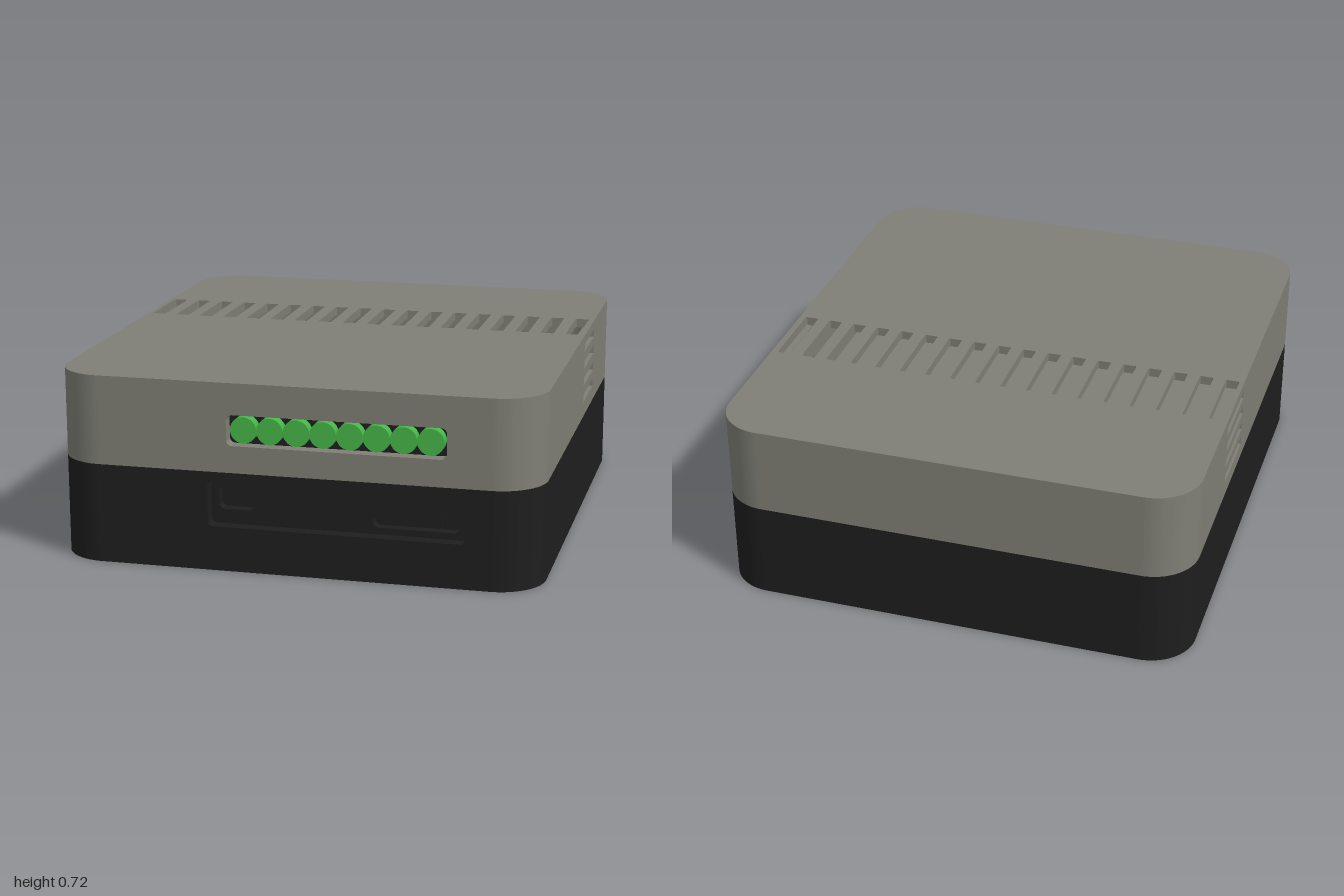
import * as THREE from 'three';

const W = 0.92, D = 1, R = 0.18, T = 0.05; // half width, half depth, corner radius, wall
const SPLIT = 0.38, TOP = 0.72, TOP_T = 0.035;

const mat = (color) => new THREE.MeshStandardMaterial({ color });

// Rounded rectangle outline from x0,y0 to x1,y1
function roundRect(x0, y0, x1, y1, r, Type = THREE.Shape) {
  const s = new Type();
  if (r === 0) {
    s.moveTo(x0, y0).lineTo(x1, y0).lineTo(x1, y1).lineTo(x0, y1).closePath();
    return s;
  }
  s.moveTo(x0 + r, y0).lineTo(x1 - r, y0);
  s.absarc(x1 - r, y0 + r, r, -Math.PI / 2, 0);
  s.lineTo(x1, y1 - r).absarc(x1 - r, y1 - r, r, 0, Math.PI / 2);
  s.lineTo(x0 + r, y1).absarc(x0 + r, y1 - r, r, Math.PI / 2, Math.PI);
  s.lineTo(x0, y0 + r).absarc(x0 + r, y0 + r, r, Math.PI, Math.PI * 1.5);
  return s;
}
const hole = (x0, y0, x1, y1, r = 0) => roundRect(x0, y0, x1, y1, r, THREE.Path);

const extrude = (shape, depth) =>
  new THREE.ExtrudeGeometry(shape, { depth, bevelEnabled: false, curveSegments: 14 });

function add(group, name, geometry, material) {
  const mesh = new THREE.Mesh(geometry, material);
  mesh.name = name;
  group.add(mesh);
  return mesh;
}

// Horizontal slab; its outline is drawn in x and -z
function addPlate(group, name, shape, y, height, material) {
  add(group, name, extrude(shape, height).rotateX(-Math.PI / 2).translate(0, y, 0), material);
}

// Upright panel in the x-y plane
function addPanel(group, name, rect, r, holes, z, depth, material) {
  const shape = roundRect(...rect, r);
  shape.holes.push(...holes);
  add(group, name, extrude(shape, depth).translate(0, 0, z), material);
}

// Four straight walls and four rounded corners
function addWalls(group, y0, y1, frontHoles, sideHoles, material) {
  const fx = W - R, fz = D - R;
  addPanel(group, 'frontWall', [-fx, y0, fx, y1], 0, frontHoles, D - T, T, material);
  addPanel(group, 'backWall', [-fx, y0, fx, y1], 0, [], -D, T, material);
  for (const side of [1, -1]) {
    const shape = roundRect(-fz, y0, fz, y1, 0);
    shape.holes.push(...sideHoles());
    const geometry = extrude(shape, T).rotateY(Math.PI / 2);
    geometry.translate(side > 0 ? W - T : -W, 0, 0);
    add(group, side > 0 ? 'leftWall' : 'rightWall', geometry, material);
  }
  [[1, 1], [-1, 1], [-1, -1], [1, -1]].forEach(([sx, sv], i) => {
    const a = (i * Math.PI) / 2, b = a + Math.PI / 2;
    const s = new THREE.Shape();
    s.absarc(sx * fx, sv * fz, R, a, b, false);
    s.absarc(sx * fx, sv * fz, R - T, b, a, true);
    addPlate(group, 'cornerWall', s, y0, y1 - y0, material);
  });
}

export function createModel() {
  const model = new THREE.Group();
  model.name = 'enclosure';
  const grey = mat(0x7f7f76), black = mat(0x1e1e1e), green = mat(0x46b648);

  // Lower case with a recessed port panel
  const base = new THREE.Group();
  base.name = 'base';
  model.add(base);
  addPlate(base, 'baseFloor', roundRect(-W, -D, W, D, R), 0, T, black);
  addWalls(base, T, SPLIT, [hole(-0.32, 0.17, 0.65, 0.35, 0.02)], () => [], black);
  addPanel(base, 'portPanel', [-0.36, 0.14, 0.69, 0.375], 0, [
    hole(-0.29, 0.225, -0.155, 0.32, 0.025),
    hole(0.295, 0.195, 0.625, 0.25, 0.025),
  ], D - T - 0.04, 0.04, black);
  const port = (name, x0, y0, x1, y1, z) =>
    addPanel(base, name, [x0, y0, x1, y1], 0, [], z - 0.1, 0.1, black);
  port('squarePort', -0.31, 0.21, -0.135, 0.34, 0.86);
  port('cardSlotBack', 0.28, 0.18, 0.64, 0.265, 0.87);
  port('cardSlotKey', 0.48, 0.195, 0.54, 0.25, 0.89);

  // Upper case with side vents and a terminal window
  const lid = new THREE.Group();
  lid.name = 'lid';
  model.add(lid);
  const vents = () => [0, 1, 2, 3].map((i) => {
    const y = 0.457 + i * 0.07;
    return hole(0.11, y - 0.016, 0.4, y + 0.016);
  });
  addWalls(lid, SPLIT, TOP - TOP_T, [hole(-0.245, 0.483, 0.578, 0.6, 0.022)], vents, grey);

  // Slotted top
  const top = roundRect(-W, -D, W, D, R);
  for (let i = 0; i < 18; i++) {
    const x = -0.874 + i * 0.1025;
    top.holes.push(hole(x - 0.027, 0.11, x + 0.027, 0.41, 0.006));
  }
  addPlate(lid, 'slottedTop', top, TOP - TOP_T, TOP_T, grey);

  // Inner divider with a small cable opening
  const divider = roundRect(-W + T, -D + T, W - T, D - T, R - T);
  divider.holes.push(hole(0.58, 0.2, 0.655, 0.32));
  addPlate(lid, 'innerDivider', divider, SPLIT, 0.02, grey);

  // Terminal block: dark housing and a row of green plugs
  const terminals = new THREE.Group();
  terminals.name = 'terminalBlock';
  model.add(terminals);
  addPanel(terminals, 'terminalHousing', [-0.27, 0.46, 0.6, 0.62], 0, [], 0.75, 0.19, black);
  for (let i = 0; i < 8; i++) {
    const plug = new THREE.CylinderGeometry(0.05, 0.05, 0.05, 28).rotateX(Math.PI / 2);
    add(terminals, 'terminalPlug', plug, green).position.set(-0.184 + i * 0.1, 0.541, 0.96);
  }
  return model;
}
